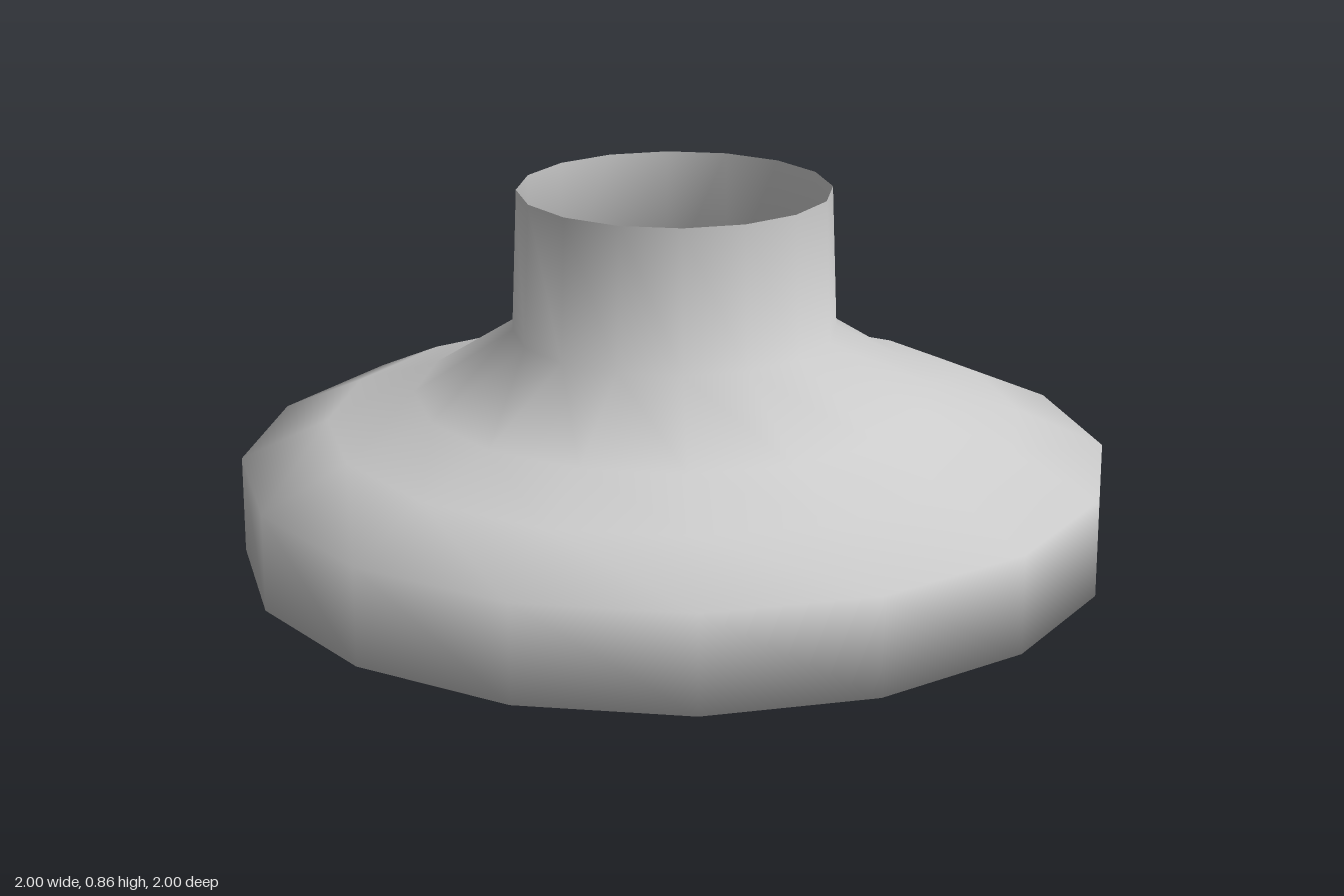
import * as THREE from 'three';

// Radius and height, from the middle of the floor up to the open neck
const PROFILE = [[0, 0], [1, 0], [1, 0.225], [0.8, 0.315], [0.6, 0.38], [0.372, 0.525], [0.359, 0.855]]
  .map(([r, y]) => new THREE.Vector2(r, y));
const SIDES = 16;

// Smooth normals that weigh both neighbouring bands equally, so the base rim shades softly
function smoothProfile(geometry, profile) {
  const bands = profile.slice(1).map((p, i) => {
    const d = p.clone().sub(profile[i]).normalize();
    return new THREE.Vector2(d.y, -d.x);
  });
  const normals = profile.map((_, i) => {
    const below = bands[Math.max(i - 1, 0)];
    const above = bands[Math.min(i, bands.length - 1)];
    return below.clone().add(above).normalize();
  });
  const attr = geometry.attributes.normal;
  for (let i = 0; i < attr.count; i++) {
    const n = normals[i % profile.length];
    const a = Math.floor(i / profile.length) / SIDES * Math.PI * 2;
    attr.setXYZ(i, n.x * Math.sin(a), n.y, n.x * Math.cos(a));
  }
  return geometry;
}

export function createModel() {
  const group = new THREE.Group();
  group.name = 'flaredBase';

  const grey = new THREE.MeshStandardMaterial({ color: 0xcccccc, side: THREE.DoubleSide });
  grey.name = 'light grey';

  // One thin shell: closed floor, sloping shoulder, hollow open neck
  const shell = new THREE.Mesh(smoothProfile(new THREE.LatheGeometry(PROFILE, SIDES), PROFILE), grey);
  shell.name = 'shellWithOpenNeck';
  group.add(shell);
  return group;
}
